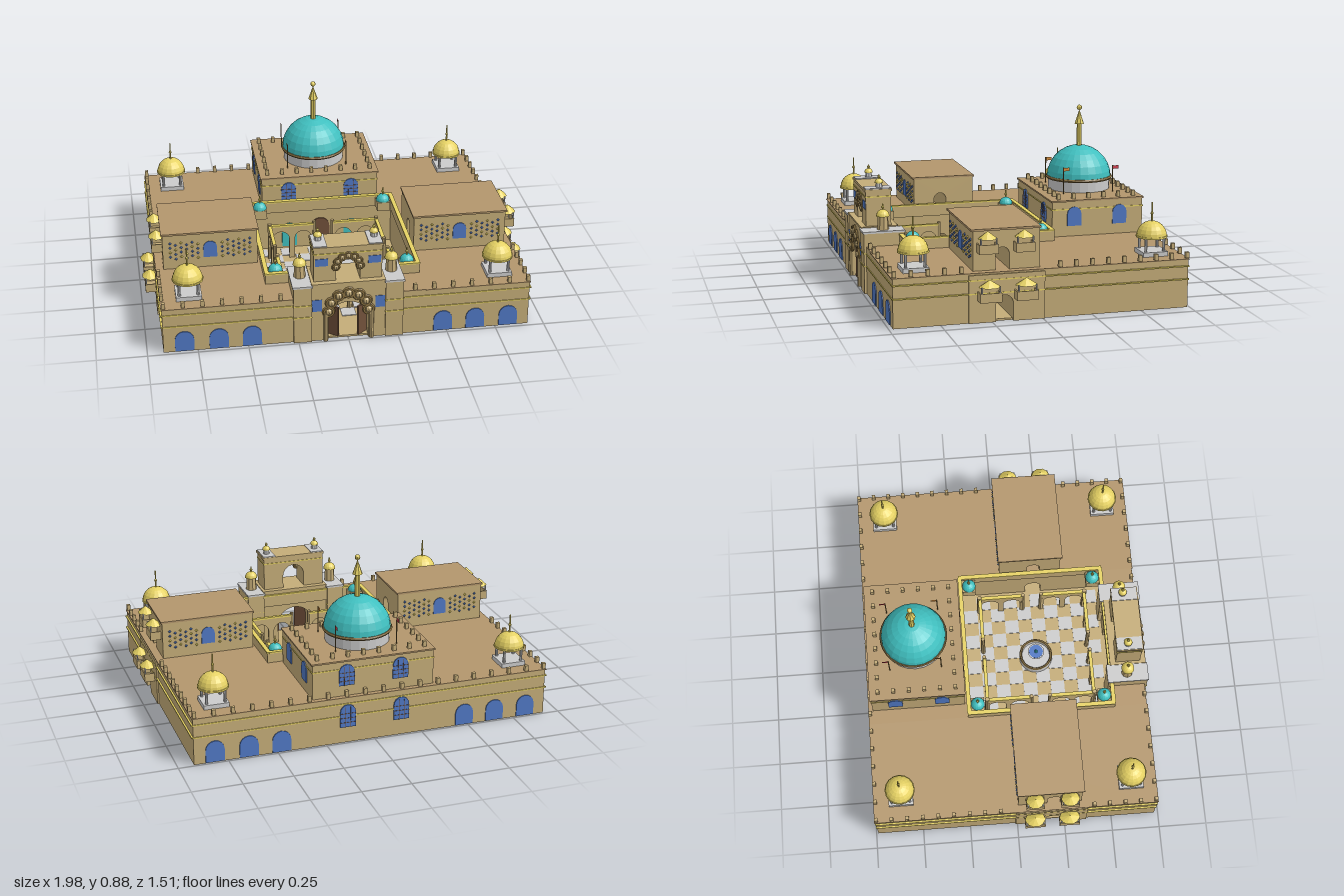
import * as THREE from 'three';

const mat = (color, extra = {}) => new THREE.MeshStandardMaterial({ color, flatShading: true, ...extra });
const sand = mat(0xc4ac78), roof = mat(0xb3966c), gold = mat(0xe6d264), teal = mat(0x40c0c0);
const blue = mat(0x5078c4), white = mat(0xdcdcd8), wood = mat(0x70503a), bronze = mat(0x8c7444);
const orange = mat(0xd89040, { side: THREE.DoubleSide }), red = mat(0xd04050, { side: THREE.DoubleSide });

function add(parent, name, geo, m, x = 0, y = 0, z = 0, ry = 0) {
  const mesh = new THREE.Mesh(geo, m);
  mesh.name = name;
  mesh.position.set(x, y, z);
  mesh.rotation.y = ry;
  parent.add(mesh);
  return mesh;
}

// Box given by its limits
function block(parent, name, m, x0, x1, y0, y1, z0, z1) {
  return add(parent, name, new THREE.BoxGeometry(x1 - x0, y1 - y0, z1 - z0), m, (x0 + x1) / 2, (y0 + y1) / 2, (z0 + z1) / 2);
}

const cyl = (r0, r1, h, n = 8) => new THREE.CylinderGeometry(r1, r0, h, n);
const domeGeo = (r, n = 16, rows = 6) => new THREE.SphereGeometry(r, n, rows, 0, Math.PI * 2, 0, Math.PI / 2);

// Wall standing on y = 0, centred in x and z, with arched openings [x, width, height]
function archWall(w, h, d, openings) {
  const s = new THREE.Shape();
  s.moveTo(-w / 2, 0);
  for (const [x, ow, oh] of openings) {
    const r = ow / 2;
    s.lineTo(x - r, 0);
    s.lineTo(x - r, oh - r);
    s.absarc(x, oh - r, r, Math.PI, 0, true);
    s.lineTo(x + r, 0);
  }
  s.lineTo(w / 2, 0);
  s.lineTo(w / 2, h);
  s.lineTo(-w / 2, h);
  s.closePath();
  return new THREE.ExtrudeGeometry(s, { depth: d, bevelEnabled: false, curveSegments: 8 }).translate(0, 0, -d / 2);
}

// Thin arched panel standing on y = 0
function archPanel(w, h) {
  const s = new THREE.Shape(), r = w / 2;
  s.moveTo(-r, 0);
  s.lineTo(r, 0);
  s.lineTo(r, h - r);
  s.absarc(0, h - r, r, 0, Math.PI, false);
  s.closePath();
  return new THREE.ExtrudeGeometry(s, { depth: 0.008, bevelEnabled: false, curveSegments: 4 }).translate(0, 0, -0.004);
}

// Latticed window: blue panel with thin bars
function latticeWindow(parent, w, h, x, y, z, ry) {
  const g = new THREE.Group();
  g.name = 'latticeWindow';
  g.position.set(x, y, z);
  g.rotation.y = ry;
  add(g, 'pane', archPanel(w, h), blue);
  for (const i of [-1, 1]) block(g, 'bar', wood, i * w / 6 - 0.001, i * w / 6 + 0.001, 0, h * 0.9, -0.006, 0.006);
  for (let i = 1; i < 4; i++) block(g, 'bar', wood, -w / 2, w / 2, i * h / 5, i * h / 5 + 0.002, -0.006, 0.006);
  parent.add(g);
}

// Dome with a thin finial, resting at y
function finialDome(parent, m, r, h, x, y, z) {
  add(parent, 'dome', domeGeo(r), m, x, y, z);
  add(parent, 'finialRod', cyl(0.005, 0.003, h, 6), gold, x, y + r * 0.97 + h / 2, z);
  add(parent, 'finialBall', new THREE.SphereGeometry(0.008, 8, 6), gold, x, y + r + h * 0.4, z);
}

// Open pavilion carrying a dome
function pavilion(parent, name, m, r, x, y, z, colH, rodH) {
  const g = new THREE.Group();
  g.name = name;
  g.position.set(x, y, z);
  block(g, 'plinth', white, -r * 0.85, r * 0.85, 0, r * 0.3, -r * 0.85, r * 0.85);
  for (const sx of [-1, 1]) for (const sz of [-1, 1])
    add(g, 'column', cyl(r * 0.1, r * 0.1, colH), white, sx * r * 0.62, r * 0.3 + colH / 2, sz * r * 0.62);
  add(g, 'rim', cyl(r * 1.04, r * 1.04, r * 0.12, 16), gold, 0, r * 0.3 + colH, 0);
  finialDome(g, m, r, rodH, 0, r * 0.3 + colH, 0);
  parent.add(g);
}

// Balcony projecting along sx, with railing, posts and pointed roof
function balcony(parent, sx, x, y, z, w) {
  const g = new THREE.Group();
  g.name = 'balcony';
  g.position.set(sx * x, y, z);
  block(g, 'floor', sand, -0.027, 0.027, 0, 0.008, -w / 2, w / 2);
  block(g, 'railing', sand, sx * 0.024 - 0.003, sx * 0.024 + 0.003, 0, 0.045, -w / 2, w / 2);
  for (const s of [-1, 1]) {
    block(g, 'sideRailing', sand, -0.027, 0.027, 0, 0.045, s * w / 2 - 0.003, s * w / 2 + 0.003);
    add(g, 'post', cyl(0.004, 0.004, 0.075, 6), white, sx * 0.022, 0.0375, s * (w / 2 - 0.006));
  }
  add(g, 'roof', new THREE.ConeGeometry(0.05, 0.036, 10).scale(0.8, 1, w / 0.092), gold, 0, 0.088, 0);
  parent.add(g);
}

// Lobed arch: rings set along a semicircle
function lobes(parent, cy, z, R, r, n) {
  for (let i = 0; i < n; i++) {
    const a = Math.PI * i / (n - 1);
    add(parent, 'archLobe', new THREE.TorusGeometry(r * 0.75, r * 0.3, 6, 12), bronze, R * Math.cos(a), cy + R * Math.sin(a), z);
    add(parent, 'archBoss', new THREE.SphereGeometry(r * 0.6, 8, 6), sand, R * Math.cos(a), cy + R * Math.sin(a), z);
  }
}

export function createModel() {
  const g = new THREE.Group();
  const merlon = new THREE.BoxGeometry(0.018, 0.03, 0.018);
  const Q = -Math.PI / 2;

  // Main body around the open courtyard
  block(g, 'floor', sand, -0.91, 0.91, 0, 0.01, -0.73, 0.72);
  block(g, 'backRange', sand, -0.39, 0.39, 0, 0.24, -0.74, -0.22);
  add(g, 'frontRange', archWall(0.78, 0.24, 0.17, [[0, 0.2, 0.21]]), sand, 0, 0, 0.645);
  block(g, 'backRoof', roof, -0.39, 0.39, 0.24, 0.244, -0.745, -0.22);
  block(g, 'frontRoof', roof, -0.39, 0.39, 0.24, 0.244, 0.56, 0.73);
  for (let y of [0.14, 0.205]) block(g, 'backStrip', gold, -0.922, 0.922, y, y + 0.006, -0.744, -0.738);

  for (const s of [-1, 1]) {
    add(g, 'sideRange', archWall(1.47, 0.24, 0.53, [[0.195, 0.085, 0.13]]), sand, s * 0.655, 0, -0.005, Q);
    add(g, 'sidePanel', archWall(0.375, 0.234, 0.012, [[0.012, 0.085, 0.13]]), sand, s * 0.922, 0, 0.178, Q);
    block(g, 'sideRoof', roof, s * 0.6575 - 0.2675, s * 0.6575 + 0.2675, 0.24, 0.244, -0.745, 0.735);
    for (const y of [0.14, 0.205]) {
      block(g, 'sideStrip', gold, s * 0.922 - 0.007, s * 0.922 + 0.007, y, y + 0.006, -0.742, 0.732);
      block(g, 'frontStrip', gold, s * 0.6 - 0.32, s * 0.6 + 0.32, y, y + 0.006, 0.728, 0.734);
    }
    for (const x of [0.48, 0.645, 0.815]) {
      add(g, 'frontWindow', archPanel(0.095, 0.11), blue, s * x, 0.004, 0.731);
      add(g, 'backWindow', archPanel(0.095, 0.11), blue, s * x, 0.004, -0.741);
    }

    // Roof wing with a vaulted passage
    add(g, 'wing', archWall(0.33, 0.195, 0.48, [[0.02, 0.068, 0.11]]), sand, s * 0.645, 0.244, 0.17, Q);
    block(g, 'wingRoof', roof, s * 0.645 - 0.247, s * 0.645 + 0.247, 0.437, 0.447, 0, 0.345);
    for (const [z, f] of [[0.335, 1], [0.005, -1]]) {
      add(g, 'wingWindow', archPanel(0.07, 0.09), blue, s * 0.645, 0.3, z);
      for (const t of [-1, 1]) for (let i = 0; i < 6; i++) for (let j = 0; j < 4; j++)
        add(g, 'latticeStud', new THREE.OctahedronGeometry(0.008), (i + j) % 3 ? blue : gold, s * 0.645 + t * (0.062 + i * 0.028), 0.3 + j * 0.026 + (i % 2) * 0.012, z + f * 0.001);
    }
    for (const z of [0.09, 0.27]) {
      balcony(g, s, 0.912, 0.335, z, 0.088);
      balcony(g, s, 0.953, 0.11, z, 0.1);
    }

    // Corner pavilions
    for (const z of [-0.6, 0.6]) pavilion(g, 'cornerPavilion', gold, 0.075, s * 0.78, 0.244, z, 0.07, 0.095);
    for (const z of [-0.165, 0.505]) {
      block(g, 'courtCorner', sand, s * 0.335 - 0.035, s * 0.335 + 0.035, 0.24, 0.29, z - 0.035, z + 0.035);
      finialDome(g, teal, 0.036, 0.04, s * 0.335, 0.29, z);
    }
    // Courtyard parapet along the sides
    block(g, 'parapet', sand, s * 0.384 - 0.008, s * 0.384 + 0.008, 0.235, 0.295, -0.22, 0.56);
    block(g, 'parapetTrim', gold, s * 0.384 - 0.011, s * 0.384 + 0.011, 0.295, 0.302, -0.22, 0.56);
  }
  for (const z of [-0.212, 0.552]) {
    block(g, 'parapet', sand, -0.384, 0.384, 0.235, 0.295, z - 0.008, z + 0.008);
    block(g, 'parapetTrim', gold, -0.384, 0.384, 0.295, 0.302, z - 0.011, z + 0.011);
  }

  // Battlements around the outer edge
  for (let i = 0; i < 20; i++) for (const z of [-0.735, 0.722]) {
    const x = -0.912 + i * 0.096;
    if (z < 0 || Math.abs(x) > 0.29) add(g, 'merlon', merlon, sand, x, 0.262, z);
  }
  for (let i = 1; i < 18; i++) for (const x of [-0.915, 0.915]) {
    const z = -0.735 + i * 0.081;
    if (z < -0.02 || z > 0.36) add(g, 'merlon', merlon, sand, x, 0.262, z);
  }

  // Courtyard paving
  for (let i = 0; i < 10; i++) for (let j = 0; j < 10; j++)
    if ((i + j) % 2 === 0) block(g, 'paving', white, -0.37 + i * 0.074, -0.296 + i * 0.074, 0.008, 0.014, -0.2 + j * 0.074, -0.126 + j * 0.074);

  // Freestanding arcades, open in the middle of each side
  const arcade = archWall(0.24, 0.19, 0.014, [[-0.06, 0.09, 0.16], [0.06, 0.09, 0.16]]);
  const arcadeRuns = [];
  for (const s of [-1, 1]) {
    arcadeRuns.push([s * 0.17, -0.11, 0], [s * 0.17, 0.46, 0]);
    arcadeRuns.push([s * 0.29, 0.005, Q], [s * 0.29, 0.345, Q]);
  }
  for (const [x, z, ry] of arcadeRuns) {
    add(g, 'arcade', arcade, sand, x, 0.01, z, ry);
    add(g, 'arcadeRail', new THREE.BoxGeometry(0.24, 0.01, 0.018), gold, x, 0.205, z, ry);
    for (const t of [-0.12, 0.12])
      add(g, 'arcadeColumn', cyl(0.012, 0.01, 0.21), sand, x + (ry ? 0 : t), 0.115, z + (ry ? t : 0));
  }

  // Fountain
  const basin = [[0, 0.01], [0.09, 0.01], [0.09, 0.05], [0.076, 0.05], [0.076, 0.03], [0, 0.03]].map(p => new THREE.Vector2(...p));
  add(g, 'fountainBasin', new THREE.LatheGeometry(basin, 24), white, 0, 0, 0.175);
  add(g, 'fountainRim', new THREE.TorusGeometry(0.083, 0.007, 6, 24).rotateX(Math.PI / 2), bronze, 0, 0.05, 0.175);
  add(g, 'fountainStem', cyl(0.014, 0.01, 0.07), white, 0, 0.06, 0.175);
  add(g, 'fountainBowl', cyl(0.012, 0.045, 0.02, 16), white, 0, 0.09, 0.175);
  add(g, 'fountainWater', cyl(0.038, 0.038, 0.004, 16), blue, 0, 0.1, 0.175);
  add(g, 'fountainTip', cyl(0.01, 0.004, 0.025), teal, 0, 0.112, 0.175);

  // Domed hall at the back
  block(g, 'hall', sand, -0.315, 0.315, 0.24, 0.425, -0.72, -0.232);
  block(g, 'hallRoof', roof, -0.322, 0.322, 0.425, 0.433, -0.726, -0.226);
  block(g, 'hallStrip', gold, -0.318, 0.318, 0.382, 0.388, -0.723, -0.229);
  for (let i = 0; i < 8; i++) for (const z of [-0.68, -0.275]) add(g, 'hallMerlon', merlon, sand, -0.28 + i * 0.08, 0.447, z);
  for (let i = 1; i < 5; i++) for (const x of [-0.28, 0.28]) add(g, 'hallMerlon', merlon, sand, x, 0.447, -0.68 + i * 0.081);
  for (const s of [-1, 1]) {
    for (const z of [-0.35, -0.595]) add(g, 'hallSideWindow', archPanel(0.075, 0.1), blue, s * 0.316, 0.298, z, Q);
    latticeWindow(g, 0.08, 0.11, s * 0.14, 0.3, -0.722, 0);
    latticeWindow(g, 0.08, 0.12, s * 0.14, 0.085, -0.743, 0);
    latticeWindow(g, 0.08, 0.1, s * 0.17, 0.3, -0.23, 0);
    add(g, 'courtWindow', archPanel(0.08, 0.14), teal, s * 0.17, 0.02, -0.218);
  }
  add(g, 'hallDoor', archPanel(0.1, 0.17), wood, 0, 0.01, -0.217);
  add(g, 'domeDrum', cyl(0.163, 0.163, 0.065, 24), white, 0, 0.463, -0.475);
  add(g, 'domeRing', new THREE.TorusGeometry(0.168, 0.009, 6, 32).rotateX(Math.PI / 2), bronze, 0, 0.495, -0.475);
  add(g, 'greatDome', domeGeo(0.17, 24, 7), teal, 0, 0.492, -0.475);
  add(g, 'spireShaft', cyl(0.015, 0.013, 0.13), gold, 0, 0.715, -0.475);
  add(g, 'spireCone', new THREE.ConeGeometry(0.026, 0.075, 8), gold, 0, 0.813, -0.475);
  add(g, 'spireBall', new THREE.SphereGeometry(0.014, 10, 8), gold, 0, 0.862, -0.475);
  for (const x of [-0.16, 0.16]) for (const z of [-0.34, -0.61]) {
    add(g, 'flagPole', cyl(0.003, 0.003, 0.14, 6), bronze, x, 0.503, z);
    add(g, 'flag', new THREE.PlaneGeometry(0.032, 0.018), z > -0.5 ? orange : red, x, 0.563, z - 0.016, Q);
  }

  // Entrance gate in two storeys
  add(g, 'gate', archWall(0.37, 0.315, 0.18, [[0, 0.2, 0.23]]), sand, 0, 0, 0.645);
  block(g, 'gateCornice', sand, -0.185, 0.185, 0.315, 0.325, 0.55, 0.74);
  lobes(g, 0.165, 0.737, 0.1, 0.032, 7);
  add(g, 'upperGate', archWall(0.34, 0.18, 0.13, [[0, 0.12, 0.13]]), sand, 0, 0.325, 0.645);
  block(g, 'upperCornice', sand, -0.176, 0.176, 0.502, 0.514, 0.575, 0.715);
  block(g, 'upperStrip', gold, -0.173, 0.173, 0.472, 0.478, 0.577, 0.713);
  lobes(g, 0.4, 0.712, 0.06, 0.022, 7);
  for (const s of [-1, 1]) {
    block(g, 'pylon', sand, s * 0.23 - 0.045, s * 0.23 + 0.045, 0, 0.31, 0.535, 0.742);
    block(g, 'pylonCap', white, s * 0.23 - 0.05, s * 0.23 + 0.05, 0.31, 0.32, 0.53, 0.747);
    for (const y of [0.14, 0.205]) block(g, 'pylonStrip', gold, s * 0.23 - 0.047, s * 0.23 + 0.047, y, y + 0.006, 0.535, 0.745);
    add(g, 'pylonTurret', cyl(0.03, 0.026, 0.07), sand, s * 0.23, 0.355, 0.635);
    finialDome(g, gold, 0.034, 0.03, s * 0.23, 0.388, 0.635);
    block(g, 'upperCap', white, s * 0.138 - 0.034, s * 0.138 + 0.034, 0.514, 0.519, 0.578, 0.71);
    add(g, 'upperTurret', cyl(0.018, 0.016, 0.025), white, s * 0.14, 0.53, 0.635);
    finialDome(g, gold, 0.022, 0.02, s * 0.14, 0.542, 0.635);
    block(g, 'gateTile', blue, s * 0.158 - 0.024, s * 0.158 + 0.024, 0.17, 0.235, 0.73, 0.738);
    block(g, 'upperTile', blue, s * 0.132 - 0.032, s * 0.132 + 0.032, 0.41, 0.45, 0.706, 0.713);
    add(g, 'gateDoor', new THREE.BoxGeometry(0.07, 0.165, 0.01), wood, s * 0.075, 0.092, 0.7, s * 0.7);
    add(g, 'gateColumn', cyl(0.012, 0.012, 0.16), sand, s * 0.115, 0.08, 0.738);
  }
  return g;
}
